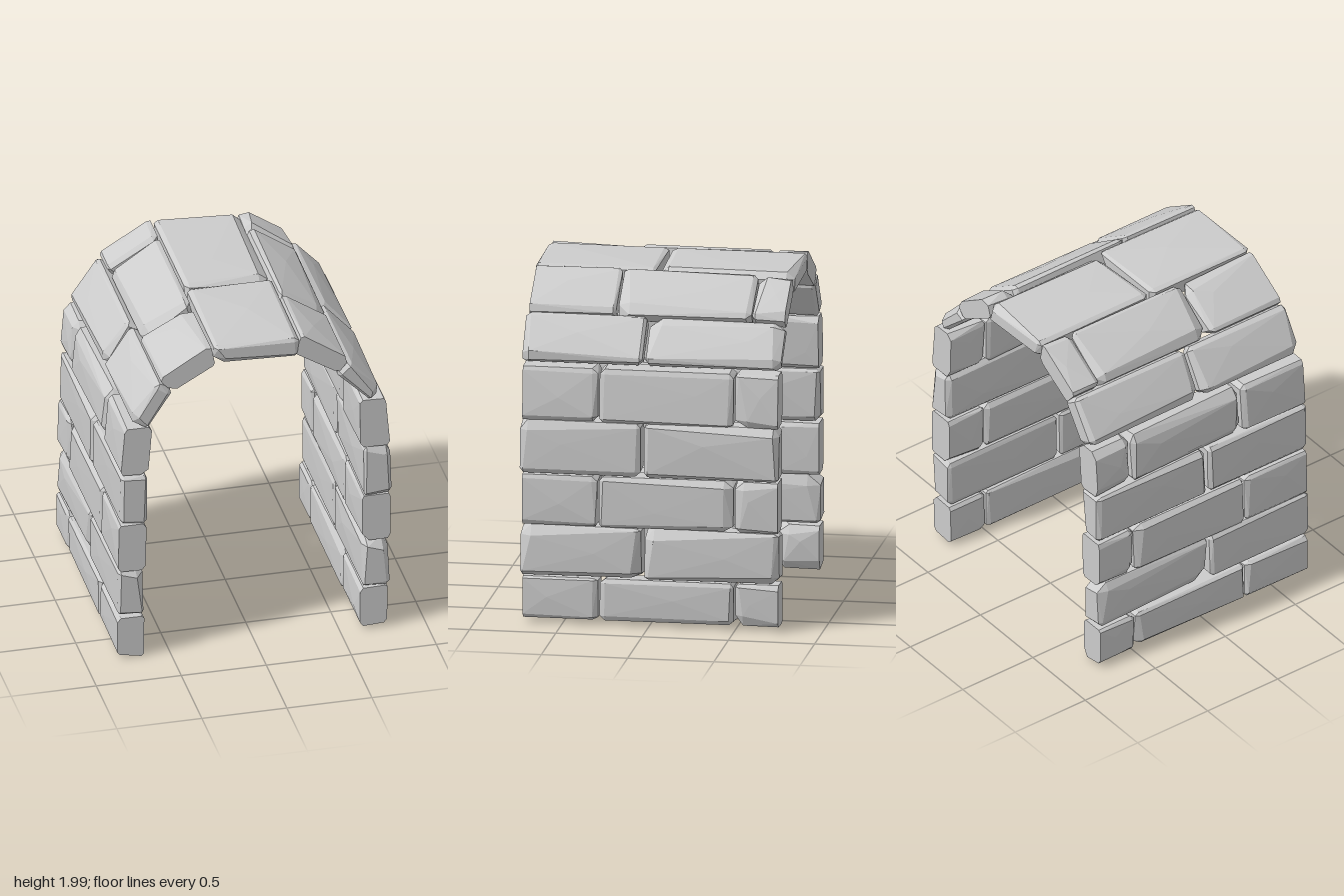
import * as THREE from 'three';
import { ConvexGeometry } from 'three/addons/geometries/ConvexGeometry.js';

// small seeded generator for the chiselled irregularity
let seed = 7;
function rand(a, b) {
  seed = (seed * 16807) % 2147483647;
  return a + (b - a) * (seed / 2147483647);
}

// Course cross-sections in x,y: inner start, inner end, outer end, outer start
const leftCourses = [
  [[-0.655, 0.0], [-0.652, 0.265], [-0.81, 0.265], [-0.81, 0.03]],
  [[-0.655, 0.28], [-0.648, 0.565], [-0.805, 0.575], [-0.81, 0.29]],
  [[-0.645, 0.57], [-0.638, 0.875], [-0.80, 0.875], [-0.805, 0.575]],
  [[-0.638, 0.88], [-0.635, 1.195], [-0.79, 1.195], [-0.795, 0.89]],
  [[-0.63, 1.2], [-0.605, 1.51], [-0.765, 1.51], [-0.79, 1.21]],
  [[-0.635, 1.51], [-0.47, 1.735], [-0.575, 1.795], [-0.745, 1.555]],
  [[-0.49, 1.725], [-0.235, 1.87], [-0.26, 2.0], [-0.565, 1.815]],
];
const rightCourses = [
  [[0.615, 0.02], [0.618, 0.27], [0.78, 0.275], [0.775, 0.03]],
  [[0.63, 0.28], [0.632, 0.575], [0.79, 0.58], [0.79, 0.285]],
  [[0.63, 0.585], [0.63, 0.88], [0.797, 0.88], [0.795, 0.585]],
  [[0.64, 0.885], [0.638, 1.205], [0.8, 1.2], [0.803, 0.89]],
  [[0.62, 1.205], [0.615, 1.515], [0.768, 1.51], [0.795, 1.2]],
  [[0.675, 1.515], [0.47, 1.715], [0.555, 1.785], [0.755, 1.56]],
  [[0.49, 1.72], [0.235, 1.88], [0.275, 1.995], [0.56, 1.8]],
];
const keyCourse = [[0.25, 1.865], [-0.24, 1.868], [-0.24, 1.99], [0.26, 1.985]];

// Depth ranges of the stones in a course; "cut" marks flat sawn ends
const threeStones = [
  { z: [-0.75, -0.5], cut: [true, false] },
  { z: [-0.49, 0.285], cut: [false, false] },
  { z: [0.295, 0.73], cut: [false, true] },
];
const threeVault = [
  { z: [-0.75, -0.56], cut: [true, false] },
  { z: [-0.555, 0.22], cut: [false, false] },
  { z: [0.23, 0.73], cut: [false, true] },
];
const twoStones = [
  { z: [-0.755, 0.025], cut: [false, false] },
  { z: [0.045, 0.745], cut: [false, false] },
];

// Chiselled stone: hull of a skewed box with unevenly bevelled corners
function stoneGeometry(quad, z, cut) {
  const [a, b, c, d] = quad.map((p) => new THREE.Vector2(...p));
  const length = a.distanceTo(b), thick = a.distanceTo(d), depth = z[1] - z[0];
  const at = (u, v, w) => {
    const p = a.clone().lerp(b, u).lerp(d.clone().lerp(c, u), v);
    return new THREE.Vector3(p.x, p.y, z[0] + w * depth);
  };
  const points = [];
  for (const u of [0, 1]) for (const v of [0, 1]) for (const w of [0, 1]) {
    const chip = rand(0, 1) < 0.22 ? 2.2 : 1;
    const inset = (corner, amount) => corner + (corner ? -1 : 1) * amount;
    const cu = inset(u, rand(0.012, 0.03) * chip / length);
    const cv = inset(v, rand(0.01, 0.022) * chip / thick);
    if (cut[w]) {
      points.push(at(u, cv, w), at(cu, v, w));
    } else {
      const cw = inset(w, rand(0.012, 0.035) * chip / depth);
      points.push(at(cu, cv, w), at(u, cv, cw), at(cu, v, cw));
    }
  }
  // shallow swell on the inner and outer faces
  for (const side of [0, 1]) {
    const swell = rand(0.002, 0.01) / thick;
    points.push(at(rand(0.3, 0.7), side ? 1 + swell : -swell, rand(0.25, 0.75)));
  }
  return new ConvexGeometry(points);
}

export function createModel() {
  seed = 7;
  const model = new THREE.Group();
  model.name = 'stoneArchway';
  const stone = new THREE.MeshStandardMaterial({ color: 0xcccccc });
  stone.name = 'grey stone';

  function addCourse(name, quad, layout) {
    const course = new THREE.Group();
    course.name = name;
    layout.forEach(({ z, cut }, i) => {
      const mesh = new THREE.Mesh(stoneGeometry(quad, z, cut), stone);
      mesh.name = `${name}Stone${i + 1}`;
      course.add(mesh);
    });
    model.add(course);
  }

  // walls and vault, alternating bond
  const sides = [['right', leftCourses], ['left', rightCourses]];
  for (const [side, courses] of sides) {
    courses.forEach((quad, i) => {
      const layout = i % 2 ? twoStones : i === 6 ? threeVault : threeStones;
      const part = i < 5 ? 'WallCourse' : 'VaultCourse';
      addCourse(`${side}${part}${i + 1}`, quad, layout);
    });
  }

  // crown of the arch
  addCourse('keystone', keyCourse, twoStones);
  return model;
}
